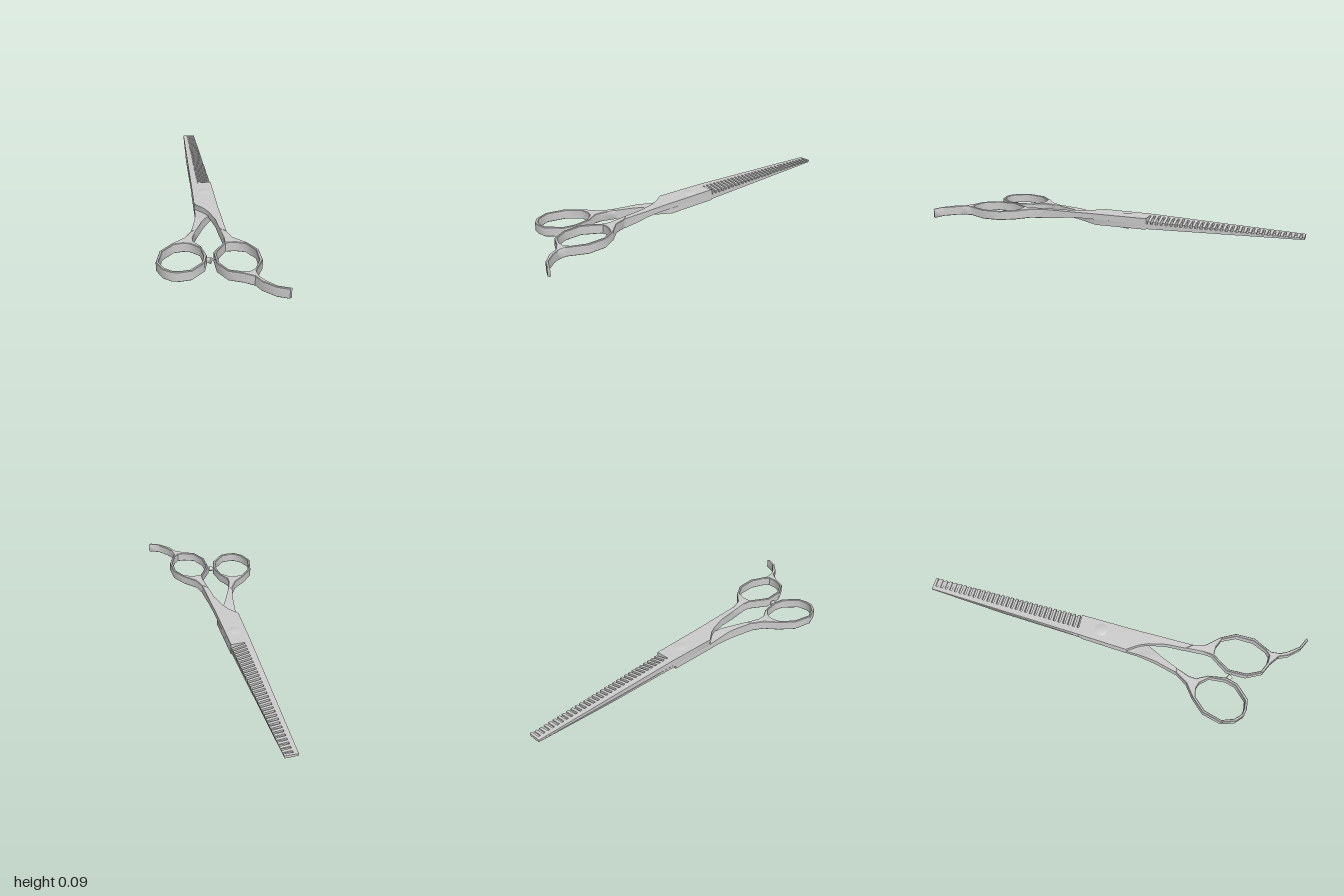
import * as THREE from 'three';
import { toCreasedNormals } from 'three/addons/utils/BufferGeometryUtils.js';

const steel = new THREE.MeshStandardMaterial({ color: 0xcccccc });
const lerp = (a, b, t) => a + (b - a) * t;
const mix = (p, q, t) => p.map((v, i) => lerp(v, q[i], t));

function mesh(name, geometry) {
  const m = new THREE.Mesh(toCreasedNormals(geometry, 0.74), steel);
  m.name = name;
  return m;
}

// Cross-section between a left and a right point [x, z].
// bevel cuts the bottom left corner, topR lowers the top right corner.
function section(l, r, y0, y1, bevel = 0, topR = y1) {
  const b = mix(l, r, bevel);
  return [[l[0], y1, l[1]], [r[0], topR, r[1]], [r[0], y0, r[1]], [b[0], y0, b[1]],
    [l[0], lerp(y0, y1, 0.5), l[1]]];
}

// Skin a row of sections, running from the tip towards the handle.
function loft(rows) {
  const pos = [];
  const n = rows[0].length;
  for (let i = 0; i < rows.length - 1; i++) {
    for (let j = 0; j < n; j++) {
      const k = (j + 1) % n;
      const a = rows[i][j], b = rows[i + 1][j], c = rows[i + 1][k], d = rows[i][k];
      pos.push(...a, ...b, ...c, ...a, ...c, ...d);
    }
  }
  // End caps
  const s = rows[0], e = rows[rows.length - 1];
  for (let j = 1; j < n - 1; j++) pos.push(...s[0], ...s[j], ...s[j + 1], ...e[0], ...e[j + 1], ...e[j]);
  const g = new THREE.BufferGeometry();
  g.setAttribute('position', new THREE.Float32BufferAttribute(pos, 3));
  return g;
}

// Plan outline [x, z] with a hole, both clockwise from above, extruded from y0 to y1.
function plate(outline, hole, y0, y1) {
  const pts = (list) => list.map(([x, z]) => new THREE.Vector2(x, -z));
  const shape = new THREE.Shape(pts(outline));
  if (hole.length) shape.holes.push(new THREE.Path(pts(hole).reverse()));
  const c = 0.003;
  const g = new THREE.ExtrudeGeometry(shape, {
    depth: y1 - y0 - 2 * c, bevelEnabled: true, bevelSegments: 1,
    bevelSize: c, bevelThickness: c, bevelOffset: -c,
  });
  return g.rotateX(-Math.PI / 2).translate(0, y0 + c, 0);
}

// Shared blade edges
const MID = 0.048;
const tipL = [-0.76, -0.96], tipR = [-0.69, -1.0];
const heelL = [-0.285, -0.085], heelR = [-0.175, -0.155];
const at = (t, across) => mix(mix(tipL, heelL, t), mix(tipR, heelR, t), across);

function upperHalf() {
  const g = new THREE.Group();
  g.name = 'toothedHalf';
  const top = (t) => lerp(0.057, 0.085, t);
  const ROOT = 0.32;

  // Blade spine and closed tip
  g.add(mesh('toothedBladeSpine', loft([0, 1].map((t) => section(at(t, 0), at(t, ROOT), MID, top(t))))));
  g.add(mesh('bladeTip', loft([0, 0.016].map((t) => section(at(t, ROOT), at(t, 1), MID, top(t))))));

  // Comb teeth, thinning towards their ends
  const teeth = new THREE.Group();
  teeth.name = 'teeth';
  const count = 30, pitch = 0.974 / count;
  for (let i = 0; i < count; i++) {
    const t0 = 0.016 + (i + 0.45) * pitch;
    const rows = [t0, t0 + pitch * 0.55].map((t) =>
      section(at(t, ROOT), at(t, 1), MID, top(t), 0, lerp(MID, top(t), 0.5)));
    teeth.add(mesh('tooth', loft(rows)));
  }
  g.add(teeth);

  // Pivot block running into the shank
  g.add(mesh('upperShank', loft([
    section(heelL, heelR, MID, 0.085),
    section([-0.13, 0.2], [0.035, 0.2], MID, 0.085),
    section([-0.05, 0.235], [0.075, 0.262], MID, 0.085),
    section([0, 0.27], [0.105, 0.312], 0.044, 0.085),
    section([0.08, 0.35], [0.145, 0.378], 0.032, 0.085),
    section([0.15, 0.45], [0.2, 0.465], 0.025, 0.085),
  ])));

  // Finger ring
  g.add(mesh('fingerRing', plate(
    [[0.15, 0.45], [0.2, 0.465], [0.26, 0.52], [0.36, 0.548], [0.45, 0.6], [0.513, 0.7], [0.525, 0.83],
      [0.56, 0.875], [0.54, 0.885], [0.47, 0.88], [0.39, 0.89], [0.3, 0.835], [0.234, 0.73], [0.24, 0.59], [0.22, 0.55]],
    [[0.252, 0.6], [0.3, 0.572], [0.36, 0.563], [0.44, 0.612], [0.498, 0.71], [0.51, 0.8], [0.5, 0.84],
      [0.46, 0.863], [0.39, 0.874], [0.31, 0.824], [0.25, 0.73]],
    0.025, 0.085)));

  // Curved rest for the little finger
  g.add(mesh('fingerRest', plate(
    [[0.53, 0.85], [0.56, 0.875], [0.6, 0.9], [0.68, 0.93], [0.755, 0.922], [0.75, 0.938], [0.68, 0.945],
      [0.59, 0.92], [0.53, 0.878]],
    [], 0.025, 0.085)));
  return g;
}

function lowerHalf() {
  const g = new THREE.Group();
  g.name = 'plainHalf';

  // Straight blade with a bevelled back
  g.add(mesh('plainBlade', loft([0, 0.5, 1.04].map((t) =>
    section(at(t, t === 0.5 ? -0.06 : 0), at(t, 0.96), lerp(0.04, 0.015, t), MID, 0.4)))));

  // Pivot block running into the shank
  g.add(mesh('lowerShank', loft([
    section([-0.272, -0.062], [-0.175, -0.155], 0.012, MID),
    section([-0.13, 0.2], [0.0, 0.14], 0.012, MID),
    section([-0.09, 0.27], [0.0, 0.27], 0.012, 0.054),
    section([-0.06, 0.34], [0.002, 0.33], 0.012, 0.068),
    section([-0.04, 0.39], [0.005, 0.38], 0.012, 0.071),
    section([0, 0.52], [0.023, 0.5], 0.012, 0.071),
  ])));

  // Thumb ring
  g.add(mesh('thumbRing', plate(
    [[0, 0.52], [0.023, 0.5], [0.042, 0.59], [0.065, 0.632], [0.13, 0.668], [0.205, 0.755], [0.228, 0.83],
      [0.203, 0.942], [0.15, 0.984], [0.11, 0.998], [0.05, 0.987], [-0.02, 0.93], [-0.057, 0.81], [-0.035, 0.7], [0, 0.61]],
    [[0.02, 0.675], [0.06, 0.664], [0.13, 0.684], [0.19, 0.763], [0.211, 0.83], [0.187, 0.934], [0.145, 0.968],
      [0.11, 0.981], [0.057, 0.971], [-0.008, 0.922], [-0.041, 0.81], [-0.021, 0.71]],
    0.012, 0.071)));

  // Stop between the rings
  const stop = mesh('stopBumper', new THREE.CylinderGeometry(0.018, 0.011, 0.035, 16));
  stop.position.set(0.218, 0.048, 0.765);
  stop.rotation.z = -Math.PI / 2;
  g.add(stop);
  return g;
}

// Pivot screw with a domed head on each face
function pivotScrew() {
  const profile = [[0, 0], [0.03, 0], [0.042, 0.006], [0.042, 0.012], [0.024, 0.012],
    [0.024, 0.082], [0.04, 0.082], [0.04, 0.085], [0.03, 0.088], [0, 0.088]];
  const s = mesh('pivotScrew', new THREE.LatheGeometry(profile.map((p) => new THREE.Vector2(...p)), 24));
  s.position.set(-0.152, 0, 0);
  return s;
}

export function createModel() {
  const model = new THREE.Group();
  model.name = 'thinningScissors';
  model.add(upperHalf(), lowerHalf(), pivotScrew());
  return model;
}
